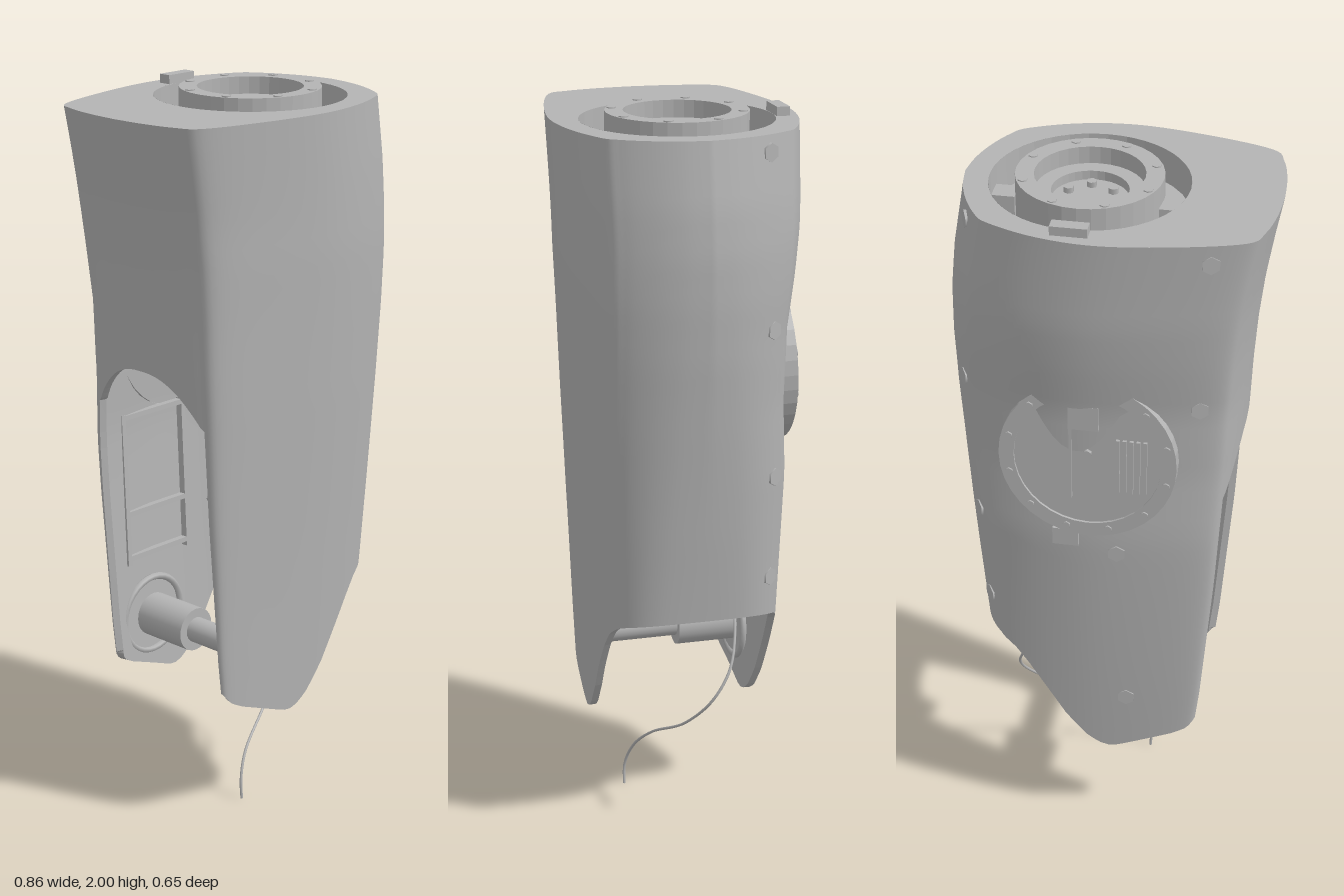
import * as THREE from 'three';
import { mergeGeometries } from 'three/addons/utils/BufferGeometryUtils.js';

const TOP = 1.975, HUB_X = 0.065;

// Piecewise-linear lookup in a table of [key, value] rows
function look(table, k) {
  if (k <= table[0][0]) return table[0][1];
  for (let i = 1; i < table.length; i++) {
    const [a, va] = table[i - 1], [b, vb] = table[i];
    if (k <= b) return va + (vb - va) * (k - a) / (b - a);
  }
  return table[table.length - 1][1];
}

// Side profiles by height
const leftX = [[0.3, -0.27], [0.5, -0.295], [0.9, -0.33], [1.3, -0.355], [1.45, -0.362], [1.6, -0.373], [1.75, -0.39], [1.87, -0.41], [1.975, -0.43]];
const rightX = [[0.3, 0.3], [0.67, 0.347], [0.9, 0.372], [1.2, 0.402], [1.4, 0.42], [1.55, 0.428], [1.68, 0.428], [1.8, 0.417], [1.975, 0.388]];
const frontZ = [[0.3, 0.24], [0.8, 0.27], [1.2, 0.295], [1.6, 0.317], [1.975, 0.325]];
const backZ = [[0.3, 0.235], [0.6, 0.252], [1.05, 0.277], [1.25, 0.27], [1.45, 0.278], [1.6, 0.303], [1.72, 0.318], [1.975, 0.325]];
// Lower edge of the two fork plates, across the width
const hem = [[-1, 0.44], [-0.93, 0.41], [-0.87, 0.38], [-0.75, 0.36], [-0.22, 0.3], [-0.15, 0.296], [-0.08, 0.298], [0, 0.31], [0.1, 0.333], [0.28, 0.4],
  [0.6, 0.575], [0.7, 0.62], [0.82, 0.65], [1, 0.67]];

// Unit cross-section, half a turn from left to right
const half = new THREE.SplineCurve([[-1, 0], [-0.985, 0.3], [-0.94, 0.58], [-0.85, 0.765], [-0.44, 0.915], [0.03, 1], [0.41, 0.945],
  [0.73, 0.79], [0.83, 0.66], [0.92, 0.44], [0.975, 0.22], [1, 0]].map(p => new THREE.Vector2(...p))).getPoints(66);
const ring = half.map(p => [p.x, Math.max(p.y, 0), 1])
  .concat(half.slice(1, -1).reverse().map(p => [p.x, p.y, -1]));

function surface([s, w, side], y) {
  const l = look(leftX, y), r = look(rightX, y);
  const k = THREE.MathUtils.clamp(0.3 + 0.7 * (y - 0.3) / 1.4, 0.3, 1);
  const depth = side > 0 ? look(frontZ, y) : look(backZ, y);
  return new THREE.Vector3((l + r) / 2 + s * (r - l) / 2, y, side * depth * Math.pow(w, k));
}

// Shell with wall thickness, open on the left side below an arch
function shellGeometry() {
  const LOW = 16, HIGH = 20, rows = LOW + HIGH + 1, n = ring.length;
  const pos = [], idx = [];
  for (const c of ring) {
    const bottom = look(hem, c[0]);
    const arch = 1.3 - 0.13 * Math.min(1, c[1] / 0.6) ** 2;
    for (let j = 0; j < rows; j++) {
      const y = j <= LOW ? bottom + (arch - bottom) * j / LOW : arch + (TOP - arch) * (j - LOW) / HIGH;
      pos.push(...surface(c, y).toArray());
    }
  }
  for (let i = 0; i < n; i++) {
    const k = (i + 1) % n;
    const open = Math.min(ring[i][0], ring[k][0]) < -0.935;
    for (let j = open ? LOW : 0; j < rows - 1; j++) {
      const a = i * rows + j, b = k * rows + j;
      idx.push(a, b, b + 1, a, b + 1, a + 1);
    }
  }
  const make = (p, ix) => {
    const g = new THREE.BufferGeometry();
    g.setAttribute('position', new THREE.Float32BufferAttribute(p, 3));
    g.setIndex(ix);
    g.computeVertexNormals();
    return g;
  };
  // Inner wall, kept just under the lid
  const outer = make(pos, idx), nor = outer.attributes.normal.array;
  const inPos = pos.map((v, i) => i % 3 === 1 ? Math.min(v - 0.02 * nor[i], TOP - 0.004) : v - 0.02 * nor[i]);
  const inner = make(inPos, idx.slice().reverse());
  // Rim strips along every free edge
  const edges = new Set(), rimPos = [], rimIdx = [];
  for (let t = 0; t < idx.length; t += 3)
    for (let e = 0; e < 3; e++) edges.add(idx[t + e] + '_' + idx[t + (e + 1) % 3]);
  for (const key of edges) {
    const [a, b] = key.split('_').map(Number);
    if (edges.has(b + '_' + a)) continue;
    const o = rimPos.length / 3, at = (p, i) => p.slice(i * 3, i * 3 + 3);
    rimPos.push(...at(pos, b), ...at(pos, a), ...at(inPos, a), ...at(inPos, b));
    rimIdx.push(o, o + 1, o + 2, o, o + 2, o + 3);
  }
  return mergeGeometries([outer, inner, make(rimPos, rimIdx)]);
}

export function createModel() {
  const model = new THREE.Group();
  const grey = new THREE.MeshStandardMaterial({ color: 0xb4b4b4, side: THREE.DoubleSide });
  grey.name = 'plain grey';
  const add = (name, geo, x = 0, y = 0, z = 0, parent = model) => {
    const m = new THREE.Mesh(geo, grey);
    m.name = name;
    m.position.set(x, y, z);
    parent.add(m);
    return m;
  };
  const box = (w, h, d) => new THREE.BoxGeometry(w, h, d);
  const rodZ = (r, len, sides = 24) => new THREE.CylinderGeometry(r, r, len, sides).rotateX(Math.PI / 2);
  const lathe = (pts, seg) => {
    const g = new THREE.LatheGeometry(pts.map(p => new THREE.Vector2(...p)), seg).toNonIndexed();
    g.computeVertexNormals();
    return g;
  };

  add('shell', shellGeometry());

  // Flat lid with round opening
  const lid = new THREE.Shape(ring.map(c => { const p = surface(c, TOP); return new THREE.Vector2(p.x, -p.z); }));
  const hole = new THREE.Path();
  hole.absarc(HUB_X, 0, 0.258, 0, Math.PI * 2, true);
  lid.holes.push(hole);
  add('lid', new THREE.ShapeGeometry(lid, 24).rotateX(-Math.PI / 2), 0, TOP, 0);

  // Joint hub sunk into the lid
  add('hub', lathe([[0.258, TOP], [0.258, 1.88], [0.19, 1.88], [0.19, 1.997], [0.142, 1.997], [0.142, 1.95], [0.1, 1.95], [0.1, 1.925], [0, 1.925]], 32), HUB_X);
  for (let i = 0; i < 8; i++) {
    const a = (i + 0.5) * Math.PI / 4;
    add('hubBolt', new THREE.CylinderGeometry(0.013, 0.013, 0.006, 6), HUB_X + 0.173 * Math.cos(a), 1.997, 0.173 * Math.sin(a));
  }
  for (let i = 0; i < 6; i++) {
    const a = i * Math.PI / 3 + 0.4;
    add('coreBolt', new THREE.CylinderGeometry(0.014, 0.014, 0.02, 6), HUB_X + 0.066 * Math.cos(a), 1.93, 0.066 * Math.sin(a));
  }
  for (const s of [-1, 1]) add('hubBracket', box(0.06, 0.06, 0.06), HUB_X + s * 0.215, 1.91, -0.025);
  add('lidTab', box(0.095, 0.045, 0.035), HUB_X, 1.977, -0.275);
  add('frontTab', box(0.12, 0.03, 0.05), HUB_X, 1.89, 0.207);

  // Round service hatch on the back
  const hatch = new THREE.Group();
  hatch.name = 'serviceHatch';
  hatch.position.set(0.025, 1.31, -0.273);
  hatch.rotation.x = 0.03;
  model.add(hatch);
  add('hatchRim', lathe([[0.235, -0.05], [0.235, 0.008], [0.195, 0.008], [0.195, 0.001], [0, 0.001]], 36).rotateX(-Math.PI / 2), 0, 0, 0, hatch);
  for (let i = 0; i < 12; i++) {
    const a = (i + 0.5) * Math.PI / 6;
    add('hatchBolt', rodZ(0.011, 0.008, 6), 0.215 * Math.cos(a), 0.215 * Math.sin(a), -0.009, hatch);
  }
  for (let i = 0; i < 5; i++) add('ventBar', box(0.01, 0.16, 0.01), -0.08 - i * 0.018, -0.01, -0.004, hatch);
  add('hatchSocket', box(0.08, 0.07, 0.014), 0.01, 0.13, -0.006, hatch);
  add('hatchRidge', box(0.008, 0.24, 0.01), 0.045, 0, -0.004, hatch);
  add('hatchStud', rodZ(0.012, 0.012, 6), 0, 0.02, -0.005, hatch);
  for (const s of [-1, 1]) add('hatchTab', box(0.07, 0.05, 0.03), 0.06, s * 0.25, 0.01, hatch);

  // Screw caps set into the shell, by x and height on the back
  const back = ring.filter(c => c[2] < 0);
  const screws = [[-0.27, 1.92], [-0.25, 1.47], [-0.04, 1.01], [-0.08, 0.49], [0.35, 1.93], [0.37, 1.47], [0.34, 1.06], [0.315, 0.77]];
  for (const [x, y] of screws) {
    const dist = c => Math.abs(surface(c, y).x - x);
    const i = back.reduce((best, c, k) => dist(c) < dist(back[best]) ? k : best, 1);
    const p = surface(back[i], y);
    const t = surface(back[Math.min(i + 1, back.length - 1)], y).sub(surface(back[i - 1], y));
    const m = add('screwCap', rodZ(0.025, 0.008, 6), p.x, p.y, p.z);
    m.lookAt(p.clone().add(new THREE.Vector3(-t.z, 0, t.x)));
  }

  // Knee shaft between the fork plates
  const kx = -0.11, ky = 0.48;
  add('shaft', rodZ(0.036, 0.42), kx, ky, 0);
  add('shaftCollar', rodZ(0.065, 0.045), kx, ky, 0.195);
  add('shaftSleeve', rodZ(0.062, 0.17), kx, ky, -0.125);
  for (const s of [-1, 1]) {
    add('bearingRing', new THREE.TorusGeometry(0.11, 0.01, 6, 32), kx, ky, s * 0.214);
    // Stiffening ribs inside each plate
    const ribs = new THREE.Group();
    ribs.name = 'plateRibs';
    ribs.position.set(-0.085, 0.87, s * 0.227);
    ribs.rotation.x = s * 0.045;
    model.add(ribs);
    for (const x of [-0.115, 0.115]) add('uprightRib', box(0.014, 0.44, 0.02), x, 0, 0, ribs);
    for (const y of [-0.2, -0.07, 0.21]) add('crossRib', box(0.23, 0.014, 0.02), 0, y, 0, ribs);
  }
  add('stopPeg', box(0.06, 0.1, 0.06), 0.15, 0.65, 0);

  // Loose cable
  const path = [[0.06, 0.8, -0.16], [0.13, 0.65, -0.145], [0.2, 0.56, -0.13], [0.255, 0.48, -0.1], [0.265, 0.4, -0.05], [0.2, 0.31, 0.01],
    [0.05, 0.22, 0.07], [-0.055, 0.13, 0.1], [-0.088, 0.06, 0.115], [-0.087, 0, 0.117]].map(p => new THREE.Vector3(...p));
  add('cable', new THREE.TubeGeometry(new THREE.CatmullRomCurve3(path), 60, 0.004, 6));

  return model;
}
